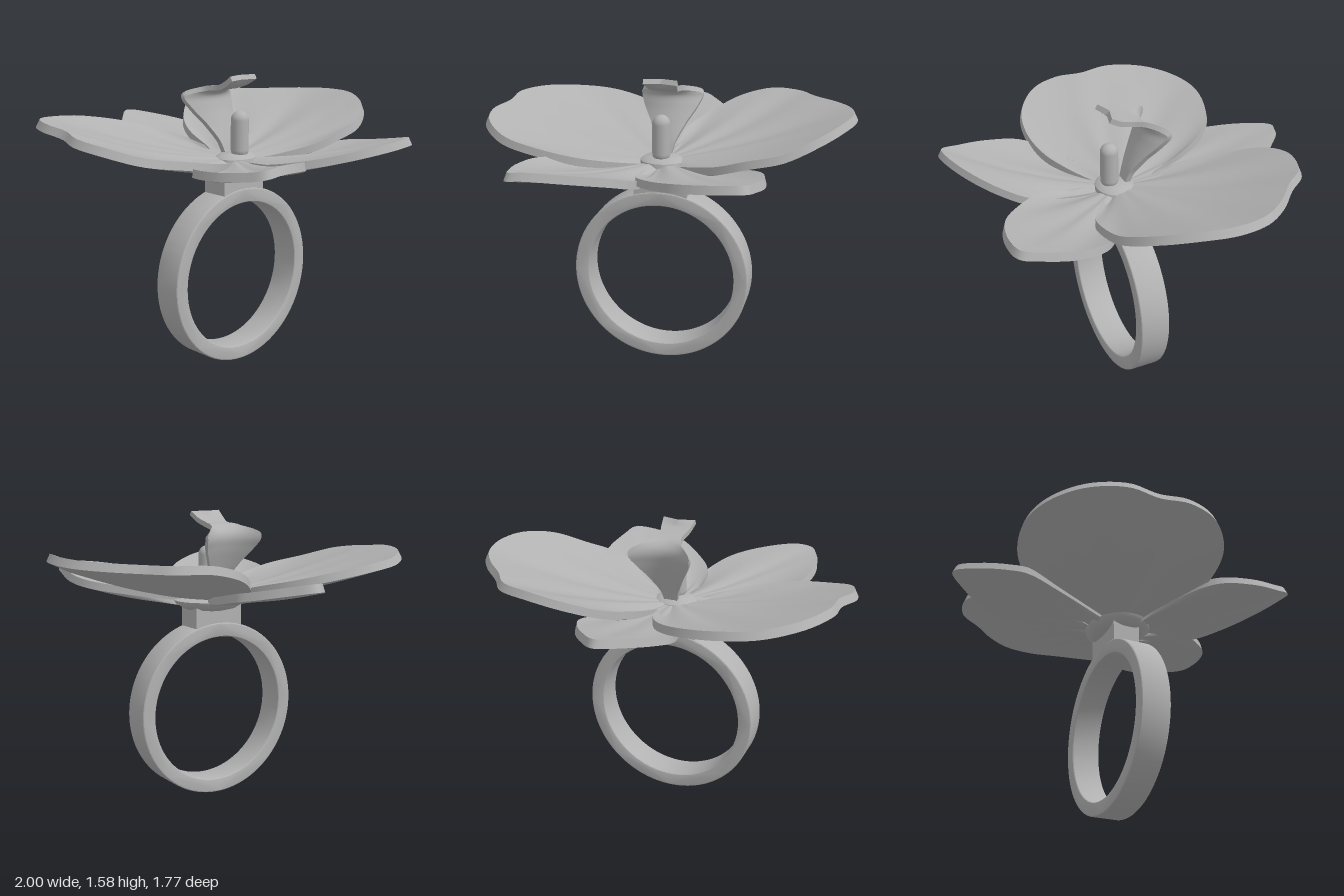
import * as THREE from 'three';
import { mergeGeometries, toCreasedNormals } from 'three/addons/utils/BufferGeometryUtils.js';

const V = (x, y, z) => new THREE.Vector3(x, y, z);

// Smooth grid patch; p(u, v) with u, v in 0..1, facing du x dv
function patch(p, nu, nv) {
  const pos = [], idx = [];
  for (let i = 0; i <= nu; i++)
    for (let j = 0; j <= nv; j++) pos.push(...p(i / nu, j / nv).toArray());
  for (let i = 0; i < nu; i++)
    for (let j = 0; j < nv; j++) {
      const a = i * (nv + 1) + j, b = a + nv + 1;
      idx.push(a, b, a + 1, b, b + 1, a + 1);
    }
  const g = new THREE.BufferGeometry();
  g.setAttribute('position', new THREE.Float32BufferAttribute(pos, 3));
  g.setIndex(idx);
  g.computeVertexNormals();
  return g;
}

// Closed slab between two surfaces, with sharp rims on all four borders
function slab(top, bottom, ns, nt) {
  const mix = (k, s, t) => top(s, t).lerp(bottom(s, t), k);
  return mergeGeometries([
    patch(top, ns, nt),
    patch((t, s) => bottom(s, t), nt, ns),
    patch((k, t) => mix(k, 1, t), 1, nt),
    patch((k, t) => mix(1 - k, 0, t), 1, nt),
    patch((k, s) => mix(k, s, 0), 1, ns),
    patch((k, s) => mix(1 - k, s, 1), 1, ns),
  ]);
}

// Petal fanned out from the flower centre to an outline of [x, y, z] points
function petalGeometry(outline, base, sag, veins) {
  const curve = new THREE.CatmullRomCurve3(outline.map((p) => V(...p)), false, 'centripetal');
  const surface = (reach, drop) => (s, t) => {
    const p = base.clone().lerp(curve.getPoint(t), s);
    const swell = Math.sin(Math.PI * s);
    p.y -= sag * swell + drop + 0.005 * swell * Math.cos(t * Math.PI * 2 * veins) * Math.sin(Math.PI * t);
    p.x = base.x + (p.x - base.x) * reach;
    p.z = base.z + (p.z - base.z) * reach;
    return p;
  };
  return slab(surface(0.98, 0), surface(1, 0.04), 16, 80);
}

export function createModel() {
  const group = new THREE.Group();
  const metal = new THREE.MeshStandardMaterial({ color: 0xb2b2b2 });
  metal.name = 'grey metal';
  const add = (name, geometry, x = 0, y = 0, z = 0) => {
    const m = new THREE.Mesh(geometry, metal);
    m.name = name;
    m.position.set(x, y, z);
    group.add(m);
    return m;
  };

  // Finger band with softened edges
  const band = new THREE.Shape().absarc(0, 0, 0.477, 0, Math.PI * 2, false);
  band.holes.push(new THREE.Path().absarc(0, 0, 0.418, 0, Math.PI * 2, true));
  add('band', toCreasedNormals(new THREE.ExtrudeGeometry(band, {
    depth: 0.145, bevelSize: 0.01, bevelThickness: 0.01, bevelSegments: 3, curveSegments: 64,
  }), 0.5), 0, 0.487, 0);

  // Mount block and the rounded cup holding the petals
  add('mount', new THREE.BoxGeometry(0.29, 0.16, 0.155), 0, 1.0, 0.073);
  const cup = [[0, 1.03], [0.08, 1.034], [0.15, 1.05], [0.2, 1.08], [0.21, 1.1],
    [0.125, 1.11], [0.12, 1.14], [0.09, 1.16], [0, 1.165]];
  add('cup', toCreasedNormals(new THREE.LatheGeometry(cup.map((p) => new THREE.Vector2(...p)), 48), 0.7),
    0, 0, 0.085).scale.z = 0.85;

  // Petals, each outline running anticlockwise seen from above
  const base = V(0, 1.13, 0.06);
  add('leftSidePetal', petalGeometry([
    [0.08, 1.13, 0.17], [0.2, 1.16, 0.26], [0.35, 1.2, 0.35], [0.5, 1.25, 0.39], [0.68, 1.29, 0.37],
    [0.85, 1.36, 0.27], [0.96, 1.4, 0.1], [1.0, 1.405, -0.08], [0.97, 1.4, -0.25], [0.88, 1.395, -0.39],
    [0.75, 1.39, -0.52], [0.65, 1.39, -0.64], [0.48, 1.385, -0.69], [0.3, 1.34, -0.65],
    [0.15, 1.27, -0.52], [0.05, 1.22, -0.35], [0.01, 1.17, -0.17],
  ], base, 0.03, 6), 0, 0, 0);
  add('rightSidePetal', petalGeometry([
    [0, 1.17, -0.17], [-0.04, 1.21, -0.33], [-0.13, 1.25, -0.5], [-0.27, 1.29, -0.62], [-0.5, 1.33, -0.68],
    [-0.7, 1.35, -0.64], [-0.87, 1.37, -0.5], [-0.96, 1.375, -0.3], [-0.96, 1.36, -0.13], [-1.0, 1.345, 0.02],
    [-0.96, 1.32, 0.18], [-0.82, 1.27, 0.31], [-0.6, 1.23, 0.365], [-0.4, 1.19, 0.34],
    [-0.25, 1.16, 0.27], [-0.1, 1.13, 0.17],
  ], base, 0.03, 6));
  add('backPetal', petalGeometry([
    [0.1, 1.13, -0.05], [0.22, 1.18, -0.35], [0.27, 1.22, -0.55], [0.23, 1.24, -0.66], [0.13, 1.27, -0.8],
    [0.02, 1.29, -0.89], [-0.1, 1.27, -0.79], [-0.2, 1.24, -0.65], [-0.24, 1.22, -0.55],
    [-0.2, 1.18, -0.35], [-0.1, 1.13, -0.05],
  ], base, 0.02, 4));
  add('rightFrontPetal', petalGeometry([
    [-0.1, 1.12, 0.12], [-0.35, 1.16, 0.22], [-0.59, 1.2, 0.4], [-0.635, 1.22, 0.6], [-0.61, 1.24, 0.77],
    [-0.57, 1.26, 0.87], [-0.48, 1.27, 0.88], [-0.3, 1.25, 0.82], [-0.12, 1.21, 0.7],
    [-0.02, 1.16, 0.55], [0.0, 1.13, 0.35], [0, 1.12, 0.18],
  ], base, 0.035, 4));
  add('leftFrontPetal', petalGeometry([
    [-0.04, 1.125, 0.18], [-0.06, 1.14, 0.35], [-0.03, 1.17, 0.52], [0.08, 1.2, 0.66], [0.25, 1.24, 0.79],
    [0.45, 1.265, 0.84], [0.57, 1.27, 0.82], [0.6, 1.25, 0.72], [0.62, 1.22, 0.55],
    [0.58, 1.2, 0.38], [0.35, 1.16, 0.22], [0.1, 1.125, 0.12],
  ], base, 0.035, 4));

  // Curled lip: flares into swept-back wings, then a forward tongue
  // Spine points hold height and depth; the others half width and wing sweep
  const spine = new THREE.CatmullRomCurve3([V(0, 1.13, 0.05), V(0, 1.22, 0.02), V(0, 1.32, -0.02),
    V(0, 1.4, -0.05), V(0, 1.455, -0.06), V(0, 1.485, -0.03), V(0, 1.495, 0.02), V(0, 1.52, 0.09), V(0, 1.555, 0.15)]);
  const widths = new THREE.CatmullRomCurve3([V(0.03, 0, 0), V(0.05, 0, 0), V(0.1, 0.02, 0), V(0.15, 0.05, 0),
    V(0.17, 0.075, 0), V(0.09, 0.03, 0), V(0.065, 0, 0), V(0.08, 0, 0), V(0.09, 0, 0)]);
  const lip = (thick) => (s, t) => {
    const u = s * 2 - 1, p = spine.getPoint(t), d = spine.getTangent(t), w = widths.getPoint(t);
    const notch = t > 0.9 ? (t - 0.9) * 0.25 * (1 - Math.abs(u)) : 0;
    return V(u * w.x, p.y + d.z * thick, p.z - d.y * thick - w.y * u * u - notch);
  };
  add('lip', slab(lip(0), lip(0.028), 20, 48));

  // Rounded bud in front of the lip
  add('bud', new THREE.CapsuleGeometry(0.048, 0.16, 10, 24), 0, 1.262, 0.115);

  return group;
}
